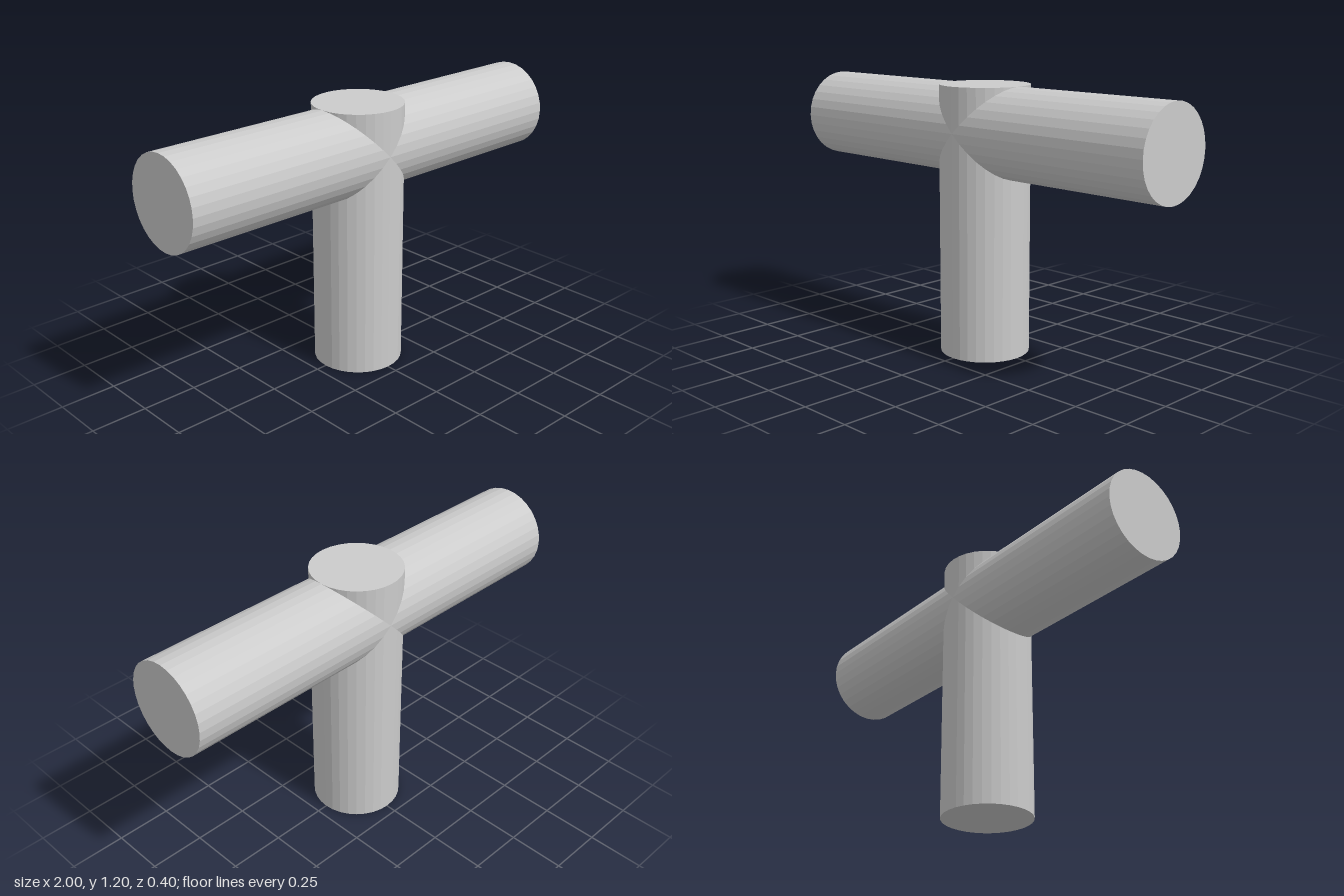
import * as THREE from 'three';

const RADIUS = 0.2;
const SIDES = 32;

export function createModel() {
  const group = new THREE.Group();
  group.name = 'teeJoint';
  const material = new THREE.MeshStandardMaterial({ color: 0xcccccc, flatShading: true });

  const addBar = (name, length) => {
    const bar = new THREE.Mesh(new THREE.CylinderGeometry(RADIUS, RADIUS, length, SIDES), material);
    bar.name = name;
    group.add(bar);
    return bar;
  };

  // Upright post, its top level with the top of the crossbar
  addBar('post', 1.2).position.y = 0.6;

  // Horizontal bar running along x through the head of the post
  const crossbar = addBar('crossbar', 2);
  crossbar.rotation.z = Math.PI / 2;
  crossbar.position.y = 1;

  return group;
}
